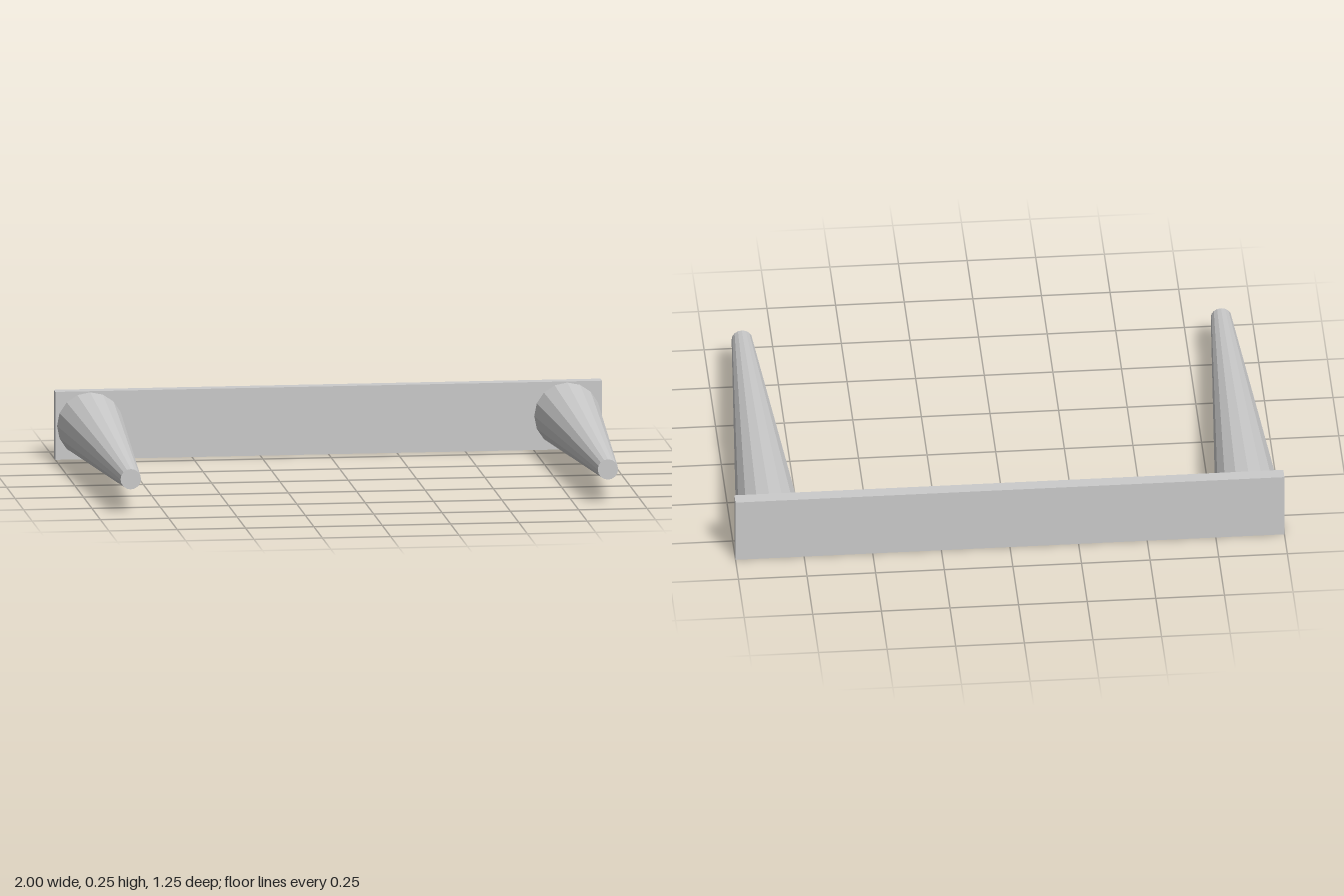
import * as THREE from 'three';

const material = new THREE.MeshStandardMaterial({ color: 0xcccccc, flatShading: true });

export function createModel() {
  const model = new THREE.Group();
  const height = 0.25, depth = 1.246, thickness = 0.048;

  // Flat back board
  const board = new THREE.Mesh(new THREE.BoxGeometry(2, height, thickness), material);
  board.name = 'backBoard';
  board.position.set(0, height / 2, (thickness - depth) / 2);
  model.add(board);

  // Tapered pegs reaching forward from both ends of the board
  const length = depth - thickness;
  const pegGeometry = new THREE.CylinderGeometry(0.0375, 0.121, length, 16).rotateX(Math.PI / 2);
  for (const side of [-1, 1]) {
    const peg = new THREE.Mesh(pegGeometry, material);
    peg.name = side > 0 ? 'leftPeg' : 'rightPeg';
    peg.position.set(side * 0.873, height / 2, thickness / 2);
    model.add(peg);
  }
  return model;
}
